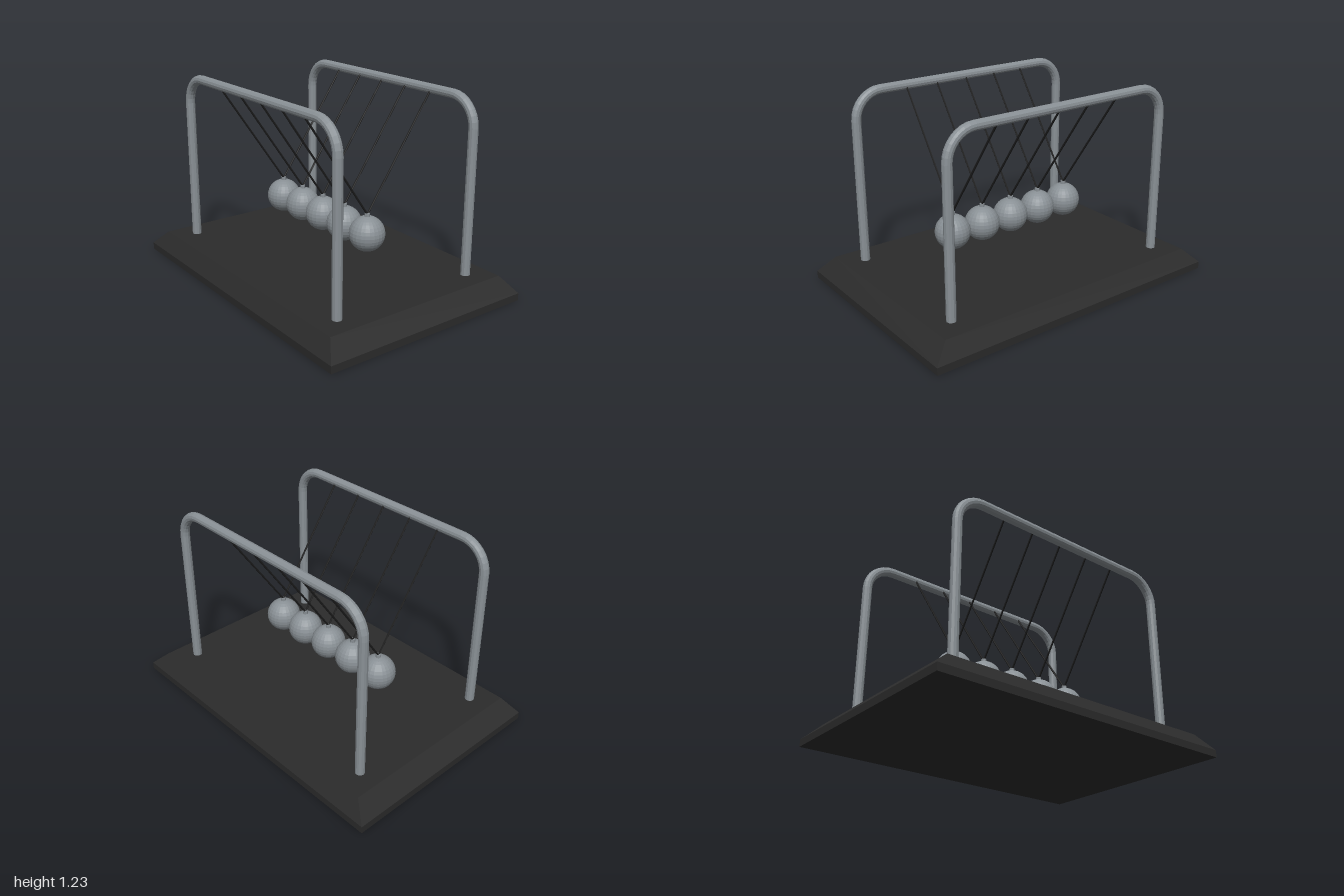
import * as THREE from 'three';

const darkMat = new THREE.MeshStandardMaterial({ color: 0x2b2b2b, flatShading: true });
const metalMat = new THREE.MeshStandardMaterial({ color: 0x899095, flatShading: true });
const stringMat = new THREE.MeshStandardMaterial({ color: 0x1c1c1c, flatShading: true });

function part(parent, name, geometry, material, x = 0, y = 0, z = 0) {
  const mesh = new THREE.Mesh(geometry, material);
  mesh.name = name;
  mesh.position.set(x, y, z);
  parent.add(mesh);
  return mesh;
}

// straight round bar between two points
function rod(parent, name, a, b, radius, sides, material) {
  const dir = b.clone().sub(a);
  const mesh = part(parent, name, new THREE.CylinderGeometry(radius, radius, dir.length(), sides), material);
  mesh.position.copy(a).add(b).multiplyScalar(0.5);
  mesh.quaternion.setFromUnitVectors(new THREE.Vector3(0, 1, 0), dir.normalize());
  return mesh;
}

export function createModel() {
  const model = new THREE.Group();
  model.name = 'swingingBallCradle';

  // base slab: upright rim, then a sloped bevel up to the flat top
  const profile = [[0, 0], [1, 0], [1, 0.045], [0.9, 0.14], [0, 0.14]].map(p => new THREE.Vector2(...p));
  const base = new THREE.LatheGeometry(profile, 4, Math.PI / 4);
  base.scale(0.69 * Math.SQRT2, 1, Math.SQRT2);
  part(model, 'base', base, darkMat);

  // two bent tube frames
  const frameX = 0.477, legZ = 0.768, topY = 1.198, bend = 0.17, tubeR = 0.029, sides = 12;
  for (const side of [-1, 1]) {
    const frame = new THREE.Group();
    frame.name = side > 0 ? 'leftFrame' : 'rightFrame';
    frame.position.x = side * frameX;
    model.add(frame);

    const legTop = topY - bend, legBottom = 0.13;
    for (const end of [-1, 1]) {
      const leg = new THREE.CylinderGeometry(tubeR, tubeR, legTop - legBottom, sides);
      part(frame, 'leg', leg, metalMat, 0, (legTop + legBottom) / 2, end * legZ);
      const corner = new THREE.TorusGeometry(bend, tubeR, sides, 8, Math.PI / 2);
      corner.rotateY(-end * Math.PI / 2);
      part(frame, 'bend', corner, metalMat, 0, legTop, end * (legZ - bend));
    }
    const rail = new THREE.CylinderGeometry(tubeR, tubeR, 2 * (legZ - bend), sides);
    rail.rotateX(Math.PI / 2);
    part(frame, 'topRail', rail, metalMat, 0, topY, 0);
  }

  // five hanging balls, each on a pair of strings
  for (let i = -2; i <= 2; i++) {
    const z = i * 0.215;
    const pendulum = new THREE.Group();
    pendulum.name = 'pendulum';
    pendulum.position.z = z;
    model.add(pendulum);
    part(pendulum, 'ball', new THREE.SphereGeometry(0.107, 24, 16), metalMat, 0, 0.405, 0);
    part(pendulum, 'stud', new THREE.CylinderGeometry(0.016, 0.016, 0.03, 8), metalMat, 0, 0.515, 0);
    for (const side of [-1, 1]) {
      rod(pendulum, 'string', new THREE.Vector3(0, 0.522, 0),
        new THREE.Vector3(side * 0.462, 1.195, 0), 0.006, 6, stringMat);
    }
  }
  return model;
}
